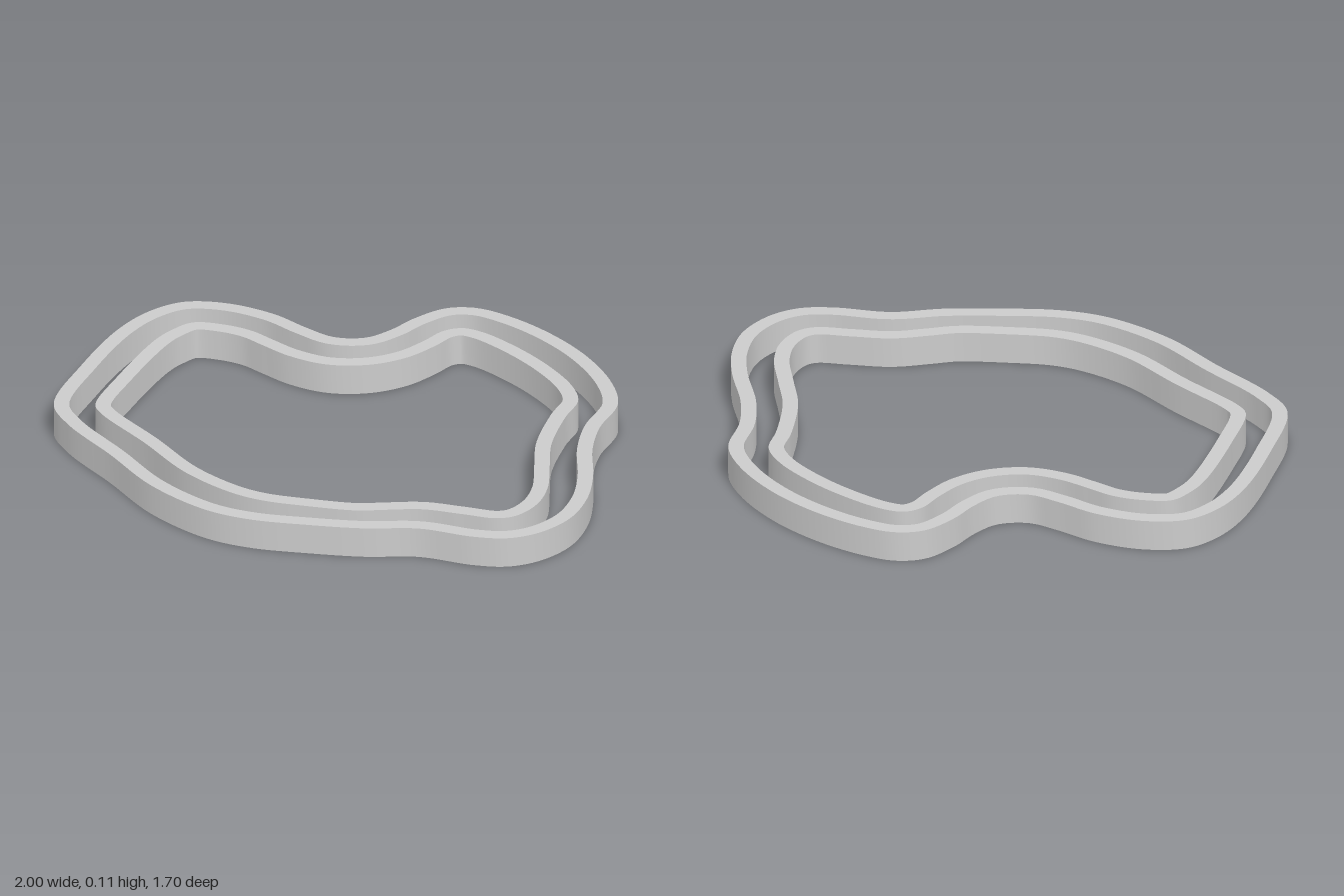
import * as THREE from 'three';
import { toCreasedNormals } from 'three/addons/utils/BufferGeometryUtils.js';

const HEIGHT = 0.108;
const WALL = 0.052;

// Outer edges of the two rings as seen from above, [x, z], clockwise from the left
const OUTER = [
  [-1, -0.05], [-0.983, -0.21], [-0.925, -0.325], [-0.8, -0.397], [-0.63, -0.422], [-0.48, -0.403],
  [-0.37, -0.4], [-0.28, -0.455], [-0.24, -0.55], [-0.22, -0.66], [-0.17, -0.78], [-0.09, -0.836],
  [0.02, -0.85], [0.2, -0.83], [0.4, -0.765], [0.58, -0.655], [0.685, -0.537], [0.725, -0.37],
  [0.79, -0.23], [0.9, -0.07], [0.97, 0.07], [1, 0.22], [0.97, 0.36], [0.905, 0.45],
  [0.805, 0.505], [0.62, 0.56], [0.47, 0.66], [0.3, 0.745], [0.11, 0.824], [-0.05, 0.849],
  [-0.29, 0.81], [-0.53, 0.705], [-0.77, 0.605], [-0.885, 0.515], [-0.96, 0.24],
];
const INNER = [
  [-0.855, -0.05], [-0.848, -0.14], [-0.818, -0.223], [-0.725, -0.267], [-0.625, -0.283],
  [-0.525, -0.27], [-0.42, -0.258], [-0.3, -0.275], [-0.2, -0.34], [-0.135, -0.435],
  [-0.105, -0.545], [-0.09, -0.64], [-0.05, -0.692], [0.02, -0.707], [0.175, -0.685],
  [0.345, -0.632], [0.485, -0.56], [0.56, -0.485], [0.588, -0.37], [0.655, -0.185],
  [0.735, -0.055], [0.82, 0.085], [0.853, 0.2], [0.841, 0.3], [0.797, 0.353], [0.68, 0.395],
  [0.555, 0.44], [0.457, 0.51], [0.377, 0.57], [0.215, 0.64], [0.067, 0.69], [-0.05, 0.7],
  [-0.25, 0.668], [-0.48, 0.572], [-0.72, 0.48], [-0.767, 0.44], [-0.815, 0.24],
];

// Smooth closed outline; z is flipped so the shape can be laid flat later
function smoothOutline(points, samples = 280) {
  const curve = new THREE.CatmullRomCurve3(
    points.map(([x, z]) => new THREE.Vector3(x, -z, 0)), true, 'centripetal');
  return curve.getSpacedPoints(samples).slice(0, -1).map((p) => new THREE.Vector2(p.x, p.y));
}

// Parallel outline inside; points that fold over at tight corners are dropped
function insetOutline(outline, distance) {
  const n = outline.length;
  return outline
    .map((p, i) => {
      const t = outline[(i + 1) % n].clone().sub(outline[(i + n - 1) % n]).normalize();
      return new THREE.Vector2(p.x + t.y * distance, p.y - t.x * distance);
    })
    .filter((q) => outline.every((p) => p.distanceTo(q) > distance * 0.985));
}

function ring(name, points) {
  const outline = smoothOutline(points);
  const shape = new THREE.Shape(outline);
  // The hole runs opposite to the outline so that its wall faces inward
  shape.holes.push(new THREE.Path(insetOutline(outline, WALL).reverse()));
  const extruded = new THREE.ExtrudeGeometry(shape, { depth: HEIGHT, bevelEnabled: false });
  extruded.rotateX(-Math.PI / 2);
  const mesh = new THREE.Mesh(
    toCreasedNormals(extruded, Math.PI / 5),
    new THREE.MeshStandardMaterial({ color: 0xcccccc }));
  mesh.name = name;
  return mesh;
}

export function createModel() {
  const model = new THREE.Group();
  model.name = 'nestedRings';
  model.add(ring('outerRing', OUTER), ring('innerRing', INNER));
  return model;
}
